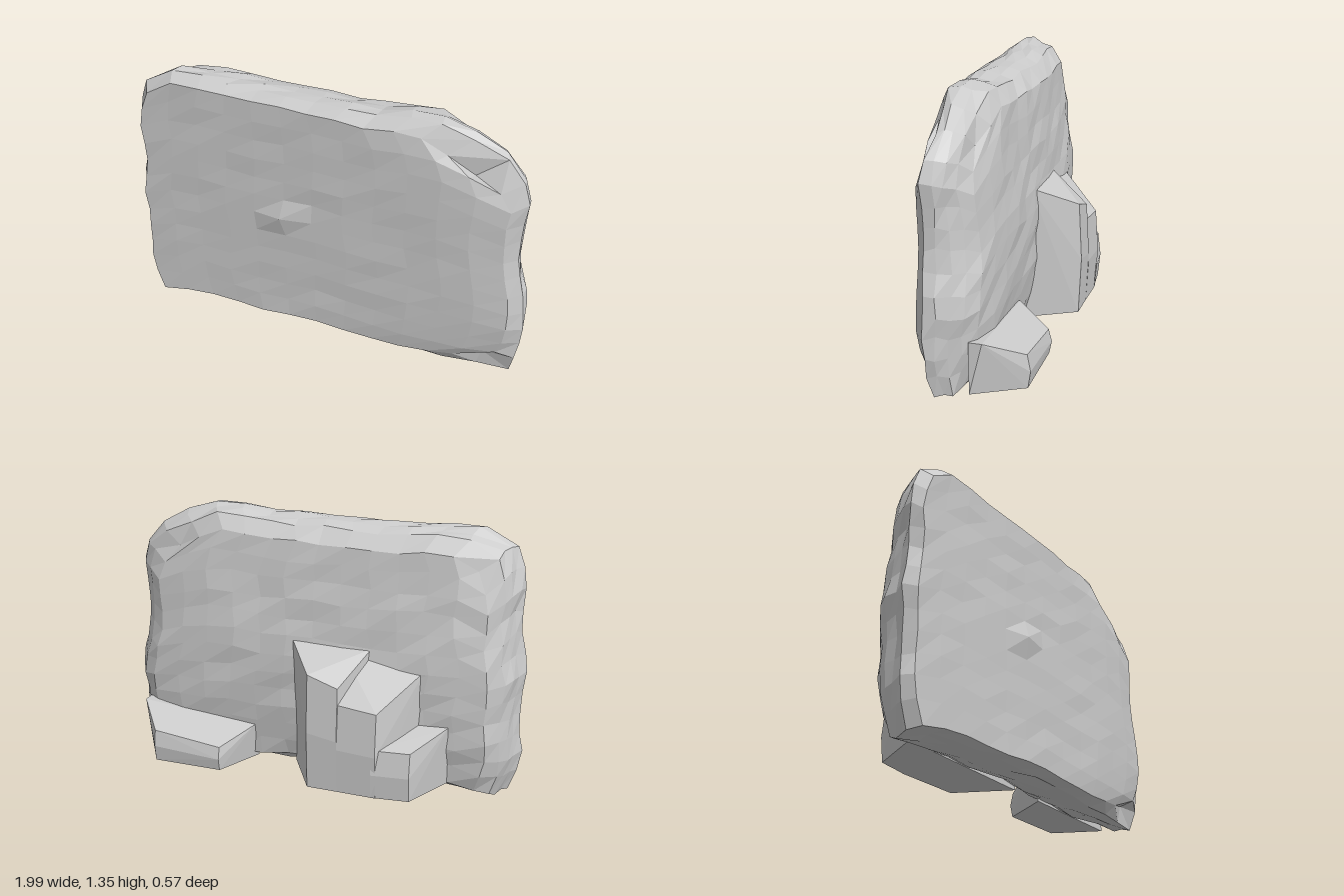
import * as THREE from 'three';
import { ConvexGeometry } from 'three/addons/geometries/ConvexGeometry.js';

const NX = 12, NY = 12, NZ = 5;

// outline of the slab, sampled evenly along each side
const LEFT = [-0.94, -0.99, -0.99, -0.98, -0.995, -0.97, -0.96, -0.98, -0.92];
const RIGHT = [0.94, 0.98, 0.99, 0.995, 0.96, 0.94, 0.95, 0.97, 0.85];
const BOTTOM = [0.01, 0.05, 0.07, 0.06, 0.08, 0.09, 0.08, 0.075, 0.07, 0.07, 0.08];
const TOP = [1.23, 1.32, 1.31, 1.31, 1.315, 1.32, 1.32, 1.32, 1.36, 1.31, 1.23];
// depth of the back face from bottom to top
const BACK = [-0.03, -0.06, -0.075, -0.08, -0.085, -0.075, -0.06, -0.045, -0.03];
// how far each side is drawn in, from the back layer to the front layer
const INSET = {
  left: [0.14, 0.07, 0.05, 0.03, 0.005, 0.03],
  right: [0.14, 0.07, 0.03, 0.01, 0, 0.06],
  top: [0.1, 0.03, 0.01, 0, 0.005, 0.04],
  bottom: [0.04, 0.01, 0, 0, 0, 0.01],
};

// linear lookup in an evenly spaced list
function sample(list, t) {
  const f = t * (list.length - 1);
  const i = Math.min(Math.floor(f), list.length - 2);
  return THREE.MathUtils.lerp(list[i], list[i + 1], f - i);
}

// repeatable noise from -1 to 1 for a grid point
function noise(i, j, k, seed) {
  const n = Math.sin(i * 127.1 + j * 311.7 + k * 74.7 + seed * 53.3) * 43758.5453;
  return (n - Math.floor(n)) * 2 - 1;
}

// subdivided box pulled to the rough outline
function slabGeometry() {
  const geo = new THREE.BoxGeometry(1, 1, 1, NX, NY, NZ);
  const p = geo.attributes.position;
  for (let n = 0; n < p.count; n++) {
    const u = p.getX(n) + 0.5, v = p.getY(n) + 0.5, w = p.getZ(n) + 0.5;
    const i = Math.round(u * NX), j = Math.round(v * NY), k = Math.round(w * NZ);
    const x0 = sample(LEFT, v) + INSET.left[k], x1 = sample(RIGHT, v) - INSET.right[k];
    const y0 = sample(BOTTOM, u) + INSET.bottom[k], y1 = sample(TOP, u) - INSET.top[k];
    // the front is rounded off at the left end's two corners
    const corner = u ** 5 * Math.abs(2 * v - 1) ** 6;
    const cut = k === NZ ? 0.07 * corner : 0;
    const front = 0.252 - 0.035 * u ** 12 - 0.05 * corner;
    const back = sample(BACK, v) + 0.04 * Math.abs(2 * u - 1) ** 4;
    const rough = k === NZ ? 0.004 : 0.008;
    const edge = k === NZ ? 0.004 : 0.01;
    p.setXYZ(n,
      THREE.MathUtils.lerp(x0, x1, u) - cut + edge * noise(i, j, k, 1),
      Math.max(0, THREE.MathUtils.lerp(y0, y1, v) - cut * Math.sign(v - 0.5) + edge * noise(i, j, k, 2)),
      THREE.MathUtils.lerp(back, front, w) + rough * noise(i, j, k, 3));
    // one facet corner stands proud of the front
    if (k === NZ && i === 5 && j === 6) p.setZ(n, 0.28);
  }
  return geo;
}

// convex chunk on the back; each end is [base x, outer x, base height, outer height, outer z]
function chunkGeometry(...ends) {
  const pts = [];
  const add = (x, y, z) => pts.push(new THREE.Vector3(x, y, z));
  for (const [base, outer, baseTop, outerTop, z] of ends) {
    add(base, 0.085, 0);
    add(base, baseTop, 0);
    add(base, baseTop, -0.06);
    add(outer, 0.08, z + 0.012);
    add(outer, (0.08 + outerTop) / 2, z);
    add(outer, outerTop, z + 0.015);
  }
  return new ConvexGeometry(pts);
}

export function createModel() {
  const model = new THREE.Group();
  model.name = 'rockSlab';
  const material = new THREE.MeshStandardMaterial({ color: 0xcccccc, flatShading: true });
  const addMesh = (name, geometry) => {
    const mesh = new THREE.Mesh(geometry, material);
    mesh.name = name;
    model.add(mesh);
  };

  addMesh('slab', slabGeometry());

  // stepped outcrop, tallest towards the middle of the slab
  addMesh('tallStep', chunkGeometry([-0.3, -0.2, 0.74, 0.6, -0.28], [0.1, -0.05, 0.76, 0.65, -0.275]));
  addMesh('middleStep', chunkGeometry([-0.56, -0.39, 0.66, 0.5, -0.288], [-0.15, -0.2, 0.73, 0.52, -0.28]));
  addMesh('lowStep', chunkGeometry([-0.68, -0.55, 0.39, 0.32, -0.27], [-0.3, -0.37, 0.39, 0.32, -0.287]));
  // low outcrop near the left end, sloping down towards the middle
  addMesh('smallOutcrop', chunkGeometry([0.3, 0.42, 0.27, 0.2, -0.245], [0.9, 0.77, 0.33, 0.24, -0.238]));
  return model;
}
